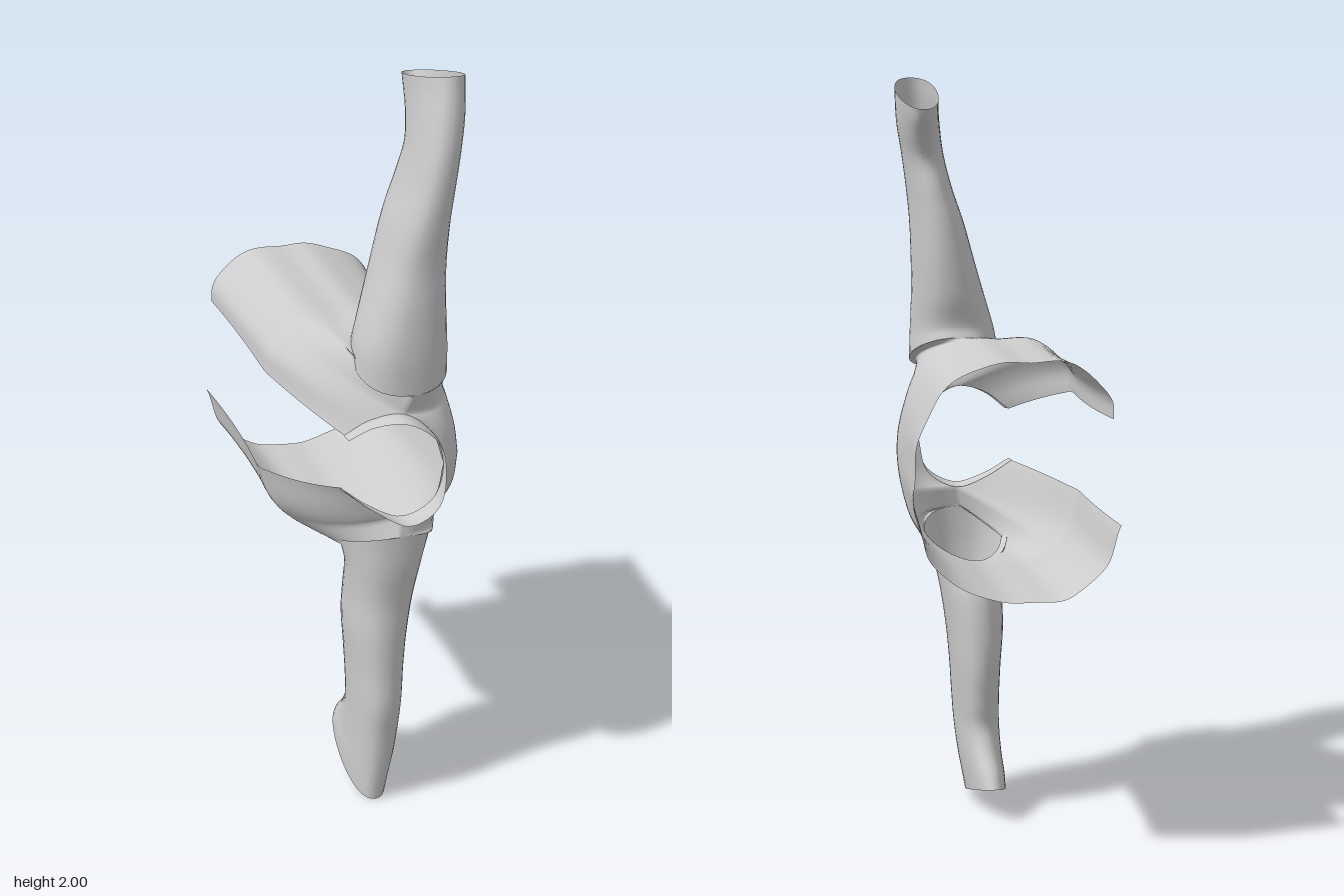
import * as THREE from 'three';
import { mergeVertices } from 'three/addons/utils/BufferGeometryUtils.js';

const V = (x, y, z) => new THREE.Vector3(x, y, z);
const cloth = new THREE.MeshStandardMaterial({ color: 0xcccccc, side: THREE.DoubleSide });
const smooth = pts => new THREE.CatmullRomCurve3(pts.map(p => V(...p)), false, 'centripetal');

// Smooth sheet through rows of points, resampled along the columns
function sheet(name, rows, steps) {
  const cols = rows[0].map((_, j) =>
    new THREE.CatmullRomCurve3(rows.map(r => r[j]), false, 'centripetal'));
  const n = cols.length, pos = [], idx = [];
  for (let i = 0; i <= steps; i++) {
    for (const c of cols) pos.push(...c.getPoint(i / steps).toArray());
  }
  for (let i = 0; i < steps; i++) {
    for (let j = 0; j < n - 1; j++) {
      const a = i * n + j, b = a + n;
      idx.push(a, a + 1, b, a + 1, b + 1, b);
    }
  }
  let g = new THREE.BufferGeometry();
  g.setAttribute('position', new THREE.Float32BufferAttribute(pos, 3));
  g.setIndex(idx);
  g = mergeVertices(g, 1e-5);
  g.computeVertexNormals();
  const mesh = new THREE.Mesh(g, cloth);
  mesh.name = name;
  return mesh;
}

// Point on a sleeve ring: x min, x max, y, z min, z max, slant; slimmer underarm
function ringPoint([x0, x1, y, z0, z1, slant], a) {
  const c = Math.cos(a), s = Math.sin(a), dz = s * (z1 - z0) / 2;
  const hx = (x1 - x0) / 2 * Math.sign(c) * Math.abs(c) ** 0.85 * (1 + 0.1 * s);
  return V((x0 + x1) / 2 + hx, y + slant * dz, (z0 + z1) / 2 + dz);
}

// Sleeve rings from the armhole to the slanted open cuff
const upperRings = [
  [-0.048, 0.192, 1.258, 0.12, 0.39, -0.42],
  [-0.04, 0.189, 1.32, 0.13, 0.393, -0.16],
  [-0.01, 0.186, 1.42, 0.11, 0.386, 0],
  [0.02, 0.187, 1.52, 0.1, 0.378, 0],
  [0.048, 0.19, 1.62, 0.1, 0.385, 0],
  [0.078, 0.198, 1.71, 0.11, 0.39, 0.03],
  [0.1, 0.21, 1.8, 0.12, 0.388, 0.1],
  [0.112, 0.224, 1.87, 0.085, 0.375, 0.2],
  [0.12, 0.23, 1.925, 0.04, 0.36, 0.24],
  [0.122, 0.232, 1.96, 0.018, 0.352, 0.24],
];
const lowerRings = [
  [-0.075, 0.152, 0.752, 0.12, 0.39, 0.42],
  [-0.062, 0.128, 0.685, 0.13, 0.39, 0.16],
  [-0.058, 0.11, 0.6, 0.105, 0.38, 0],
  [-0.06, 0.095, 0.5, 0.09, 0.383, 0],
  [-0.053, 0.085, 0.4, 0.09, 0.385, 0],
  [-0.05, 0.078, 0.3, 0.105, 0.388, -0.03],
  [-0.05, 0.072, 0.22, 0.115, 0.375, -0.1],
  [-0.053, 0.062, 0.14, 0.08, 0.365, -0.2],
  [-0.057, 0.052, 0.085, 0.04, 0.357, -0.26],
  [-0.057, 0.045, 0.045, 0.015, 0.352, -0.27],
];

function sleeve(name, rings) {
  const N = 36;
  return sheet(name, rings.map(r =>
    Array.from({ length: N + 1 }, (_, j) => ringPoint(r, (j % N) / N * Math.PI * 2))), 44);
}

// Neck edge halves, from the front opening over the shoulder to the back
const upperNeck = [[-0.09, 1.09, 0.335], [-0.03, 1.135, 0.36], [0.05, 1.15, 0.38],
  [0.12, 1.1, 0.39], [0.155, 1.005, 0.39]];
const lowerNeck = [[-0.1, 0.945, 0.335], [-0.03, 0.895, 0.36], [0.05, 0.865, 0.38],
  [0.13, 0.91, 0.39], [0.155, 1.005, 0.39]];

// Upper edge of one body half, u 0 (front opening) to 8 (middle of the back):
// front neck, shoulder seam out, around the armhole, seam back, back neck
function halfEdge(neck, ring, u) {
  const line = smooth(neck), shoulder = V(...neck[2]);
  const tip = ringPoint(ring, Math.PI / 2);
  if (u < 1.5) return line.getPoint(u / 3);
  if (u < 2.25) return shoulder.lerp(tip, (u - 1.5) / 0.75);
  if (u < 5.75) return ringPoint(ring, Math.PI * (0.5 + 2 * (u - 2.25) / 3.5));
  if (u < 6.5) return tip.lerp(shoulder, (u - 5.75) / 0.75);
  return line.getPoint(0.5 + (u - 6.5) / 3);
}

// Open body: C-shaped section running from the hem to the neck and armholes
function body() {
  // section x, y and how far each point runs straight before turning in (0 to 1)
  const section = [
    [-0.222, 1.165, 0.2], [-0.208, 1.23, 0.35], [-0.13, 1.3, 0.5], [-0.03, 1.305, 0.75],
    [0.06, 1.3, 1], [0.15, 1.26, 1], [0.205, 1.18, 1], [0.232, 1.09, 1],
    [0.24, 1.0, 1],
    [0.23, 0.91, 1], [0.205, 0.83, 1], [0.15, 0.765, 1], [0.06, 0.725, 1],
    [-0.04, 0.715, 0.75], [-0.13, 0.73, 0.5], [-0.205, 0.8, 0.35], [-0.242, 0.905, 0.2],
  ];
  const N = 128, sec = smooth(section), rows = [];
  const topAt = u => u <= 0.5
    ? halfEdge(upperNeck, upperRings[0], u * 16)
    : halfEdge(lowerNeck, lowerRings[0], (1 - u) * 16);
  const addRow = f => rows.push(Array.from({ length: N + 1 }, (_, j) => f(j / N)));
  // straight lower part with soft folds, flared at the hem and toward the armholes
  for (const z of [-0.425, -0.34, -0.2, -0.05, 0.08]) {
    const k = (0.08 - z) / 0.505;
    addRow(u => {
      const p = sec.getPoint(u);
      const flare = 1 + 0.075 * k ** 3 + 0.014 * k * Math.sin(u * 62);
      const rise = 1 + 0.02 * k ** 3 + 0.03 * (1 - k) ** 3;
      const hem = z < -0.4 ? 0.05 * p.x + 0.005 * Math.sin(u * 48 + 1) : 0;
      return V(p.x * flare, 1.01 + (p.y - 1.01) * rise, z + hem);
    });
  }
  // rounded yoke running into the neck, shoulder seams and armholes
  const chest = rows[4];
  for (let i = 1; i <= 10; i++) {
    addRow(u => {
      const a = chest[Math.round(u * N)], q = topAt(u);
      const w = THREE.MathUtils.clamp(sec.getPoint(u).z, 0, 1);
      const mid = a.clone().lerp(q, 0.5).lerp(V(a.x, a.y, q.z), w);
      return new THREE.QuadraticBezierCurve3(a, mid, q).getPoint(i / 10);
    });
  }
  return sheet('body', rows, 56);
}

// Standing collar band around the neck, open at the front
function collar() {
  const edge = [...upperNeck, ...lowerNeck.slice(0, 4).reverse()];
  const tops = [0.365, 0.4, 0.44, 0.45, 0.425, 0.45, 0.45, 0.405, 0.365];
  const line = (k, s) => smooth(edge.map(([x, y, z], i) =>
    [0.03 + (x - 0.03) * s, 1.005 + (y - 1.005) * s, THREE.MathUtils.lerp(z, tops[i], k)]))
    .getPoints(48);
  return sheet('collar', [line(0, 1), line(0.5, 1.01), line(1, 0.97)], 6);
}

export function createModel() {
  const g = new THREE.Group();
  g.name = 'openJacket';
  g.add(body(), collar(), sleeve('upperSleeve', upperRings), sleeve('lowerSleeve', lowerRings));
  return g;
}
